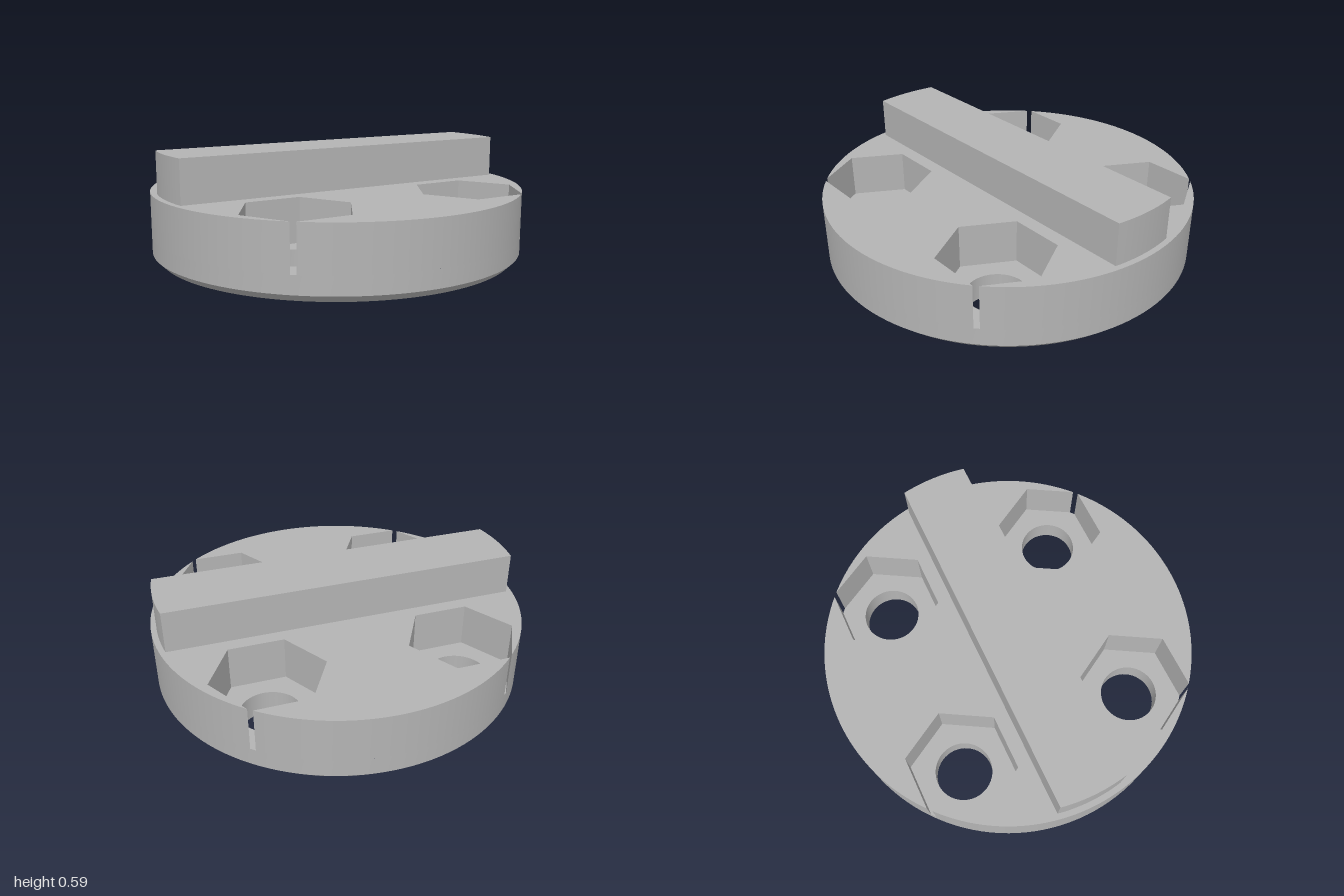
import * as THREE from 'three';
import { mergeGeometries, toCreasedNormals } from 'three/addons/utils/BufferGeometryUtils.js';

const CHAMFER = 0.036, FLOOR = 0.128, TOP = 0.363, BAR_TOP = 0.588;
const C = 0.51, HEX_R = 0.293, HOLE_R = 0.155;
const V = (x, y) => new THREE.Vector2(x, y);

// Points on an arc, both ends included
function arc(cx, cy, r, a0, a1, n) {
  return Array.from({ length: n + 1 }, (_, i) => {
    const a = a0 + (a1 - a0) * i / n;
    return V(cx + r * Math.cos(a), cy + r * Math.sin(a));
  });
}

// Vertical band along a closed plan loop; counter-clockwise loops face outward
function wall(loop, y0, y1) {
  const pos = [];
  loop.forEach((p, i) => {
    const q = loop[(i + 1) % loop.length];
    const a = [p.x, y0, -p.y], b = [q.x, y0, -q.y], c = [q.x, y1, -q.y], d = [p.x, y1, -p.y];
    pos.push(...a, ...b, ...c, ...a, ...c, ...d);
  });
  const g = new THREE.BufferGeometry();
  g.setAttribute('position', new THREE.Float32BufferAttribute(pos, 3));
  return toCreasedNormals(g, 0.5);
}

// Flat horizontal face with holes
function cap(loop, holes, y, down = false) {
  const s = new THREE.Shape(loop);
  s.holes = holes.map(h => new THREE.Path(h));
  const g = new THREE.ShapeGeometry(s).rotateX(down ? Math.PI / 2 : -Math.PI / 2).translate(0, y, 0).toNonIndexed();
  g.deleteAttribute('uv');
  return g;
}

export function createModel() {
  const grey = new THREE.MeshStandardMaterial({ color: 0xb4b4b4 });
  const group = new THREE.Group();
  const add = (name, ...geos) => {
    const m = new THREE.Mesh(mergeGeometries(geos), grey);
    m.name = name;
    group.add(m);
  };

  // Hexagonal pocket of one quadrant, opened where its corner breaks through the rim
  const h = HEX_R * Math.sqrt(3) / 2;
  const corner = V(C + HEX_R / 2, C + h);
  const top = V(Math.sqrt(1 - corner.y ** 2), corner.y);
  const dir = V(0.5, -Math.sqrt(3) / 2);
  const along = corner.dot(dir);
  const t = -along - Math.sqrt(along * along - corner.lengthSq() + 1);
  const side = corner.clone().addScaledVector(dir, t);
  const pocket = [side, ...arc(C, C, HEX_R, 0, -Math.PI * 4 / 3, 4), top];

  // Rim outline: one quadrant, mirrored, then turned half round
  const quarter = [
    ...arc(0, 0, 1, 0, side.angle(), 32).slice(0, -1),
    ...pocket,
    ...arc(0, 0, 1, top.angle(), Math.PI / 2, 32).slice(1),
  ];
  const mirrored = quarter.map(p => V(-p.x, p.y)).reverse().slice(1, -1);
  const half = [...quarter, ...mirrored];
  const outline = [...half, ...half.map(p => V(-p.x, -p.y))];

  // Cross bar with rounded ends
  const e = Math.asin(0.18 / 0.97);
  const bar = [...arc(0, 0, 0.97, -e, e, 12), ...arc(0, 0, 0.97, Math.PI - e, Math.PI + e, 12)];
  add('crossBar', wall(bar, TOP, BAR_TOP), cap(bar, [], BAR_TOP));

  // Disc: upper body, lower rim, chamfer and underside
  const quads = [[1, 1], [-1, 1], [-1, -1], [1, -1]];
  const boltHoles = quads.map(([sx, sz]) => arc(sx * C, sz * C, HOLE_R, 0, Math.PI * 2, 48).slice(0, -1));
  const circle = r => arc(0, 0, r, 0, Math.PI * 2, 128).slice(0, -1);
  add('discTop', wall(outline, FLOOR, TOP), cap(outline, [bar], TOP));
  add('lowerRim', wall(circle(1), CHAMFER, FLOOR));
  const chamfer = new THREE.CylinderGeometry(1, 1 - CHAMFER, CHAMFER, 128, 1, true);
  chamfer.translate(0, CHAMFER / 2, 0);
  add('bottomChamfer', chamfer);
  add('underside', cap(circle(1 - CHAMFER), boltHoles, 0, true));

  // Pocket floors and bolt holes
  quads.forEach(([sx, sz], i) => {
    const floor = pocket.map(p => V(p.x * sx, p.y * sz));
    add('pocketFloor', cap(floor, [boltHoles[i]], FLOOR));
    add('boltHole', wall([...boltHoles[i]].reverse(), 0, FLOOR));
  });
  return group;
}
